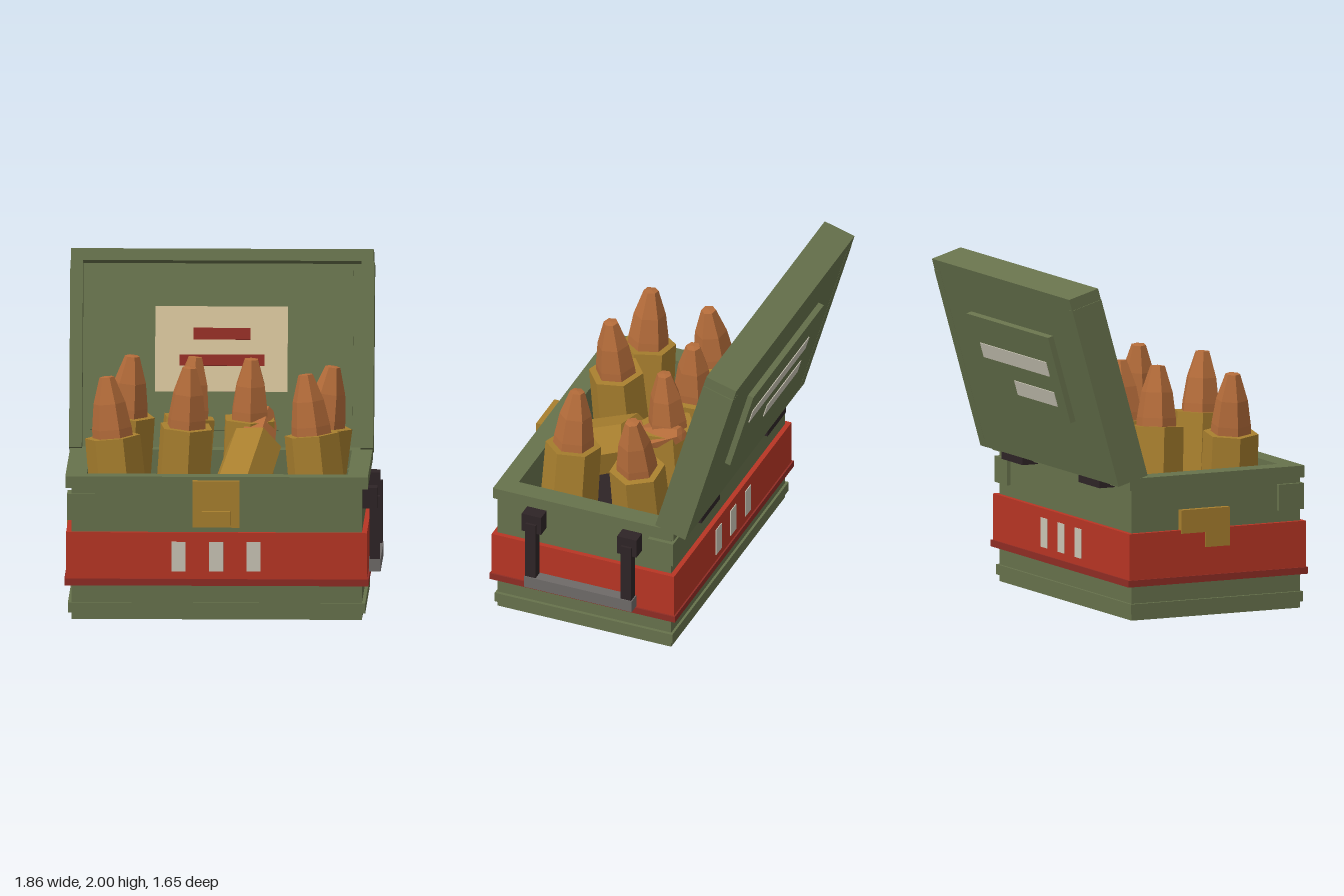
import * as THREE from 'three';

const mat = (name, color) => {
  const m = new THREE.MeshStandardMaterial({ color, flatShading: true });
  m.name = name;
  return m;
};

export function createModel() {
  const model = new THREE.Group();
  model.name = 'ammunitionCrate';
  const green = mat('olive green', 0x67724c);
  const red = mat('band red', 0xb83524);
  const darkRed = mat('dark red', 0x8f2c24);
  const brass = mat('brass', 0xa87f2e);
  const copper = mat('copper', 0xb46c3a);
  const dark = mat('dark iron', 0x2e2426);
  const grey = mat('grip grey', 0x6e6a68);
  const cream = mat('label cream', 0xd2c098);
  const pale = mat('pale marking', 0xcac5b5);

  // Box given by its limits on each axis
  const box = (parent, name, m, x0, x1, y0, y1, z0, z1) => {
    const mesh = new THREE.Mesh(new THREE.BoxGeometry(x1 - x0, y1 - y0, z1 - z0), m);
    mesh.position.set((x0 + x1) / 2, (y0 + y1) / 2, (z0 + z1) / 2);
    mesh.name = name;
    parent.add(mesh);
    return mesh;
  };

  // Rectangular ring around the open interior
  const IN = { x0: -0.8, x1: 0.735, z0: -0.31, z1: 0.62 };
  const ring = (name, m, x0, x1, y0, y1, z0, z1) => {
    const g = new THREE.Group();
    g.name = name;
    box(g, name + 'Front', m, x0, x1, y0, y1, IN.z1, z1);
    box(g, name + 'Back', m, x0, x1, y0, y1, z0, IN.z0);
    box(g, name + 'Left', m, IN.x1, x1, y0, y1, IN.z0, IN.z1);
    box(g, name + 'Right', m, x0, IN.x0, y0, y1, IN.z0, IN.z1);
    model.add(g);
  };

  // Body
  box(model, 'base', green, -0.89, 0.82, 0, 0.45, -0.39, 0.72);
  box(model, 'baseMoulding', green, -0.91, 0.84, 0.04, 0.1, -0.405, 0.73);
  ring('wall', green, -0.89, 0.82, 0.45, 0.78, -0.39, 0.72);
  ring('rim', green, -0.925, 0.855, 0.78, 0.85, -0.42, 0.735);
  box(model, 'interiorFloor', dark, IN.x0, IN.x1, 0.45, 0.458, IN.z0, IN.z1);

  // Painted band, solid up to the floor and hollow above it
  box(model, 'redBand', red, -0.92, 0.85, 0.24, 0.449, -0.42, 0.745);
  ring('redBandTop', red, -0.92, 0.85, 0.449, 0.52, -0.42, 0.745);
  box(model, 'bandTrim', darkRed, -0.93, 0.86, 0.205, 0.245, -0.43, 0.755);
  for (const x of [-0.258, -0.037, 0.183]) {
    box(model, 'frontMark', pale, x - 0.042, x + 0.042, 0.29, 0.465, 0.743, 0.75);
    box(model, 'backMark', pale, x - 0.042, x + 0.042, 0.29, 0.465, -0.425, -0.418);
  }

  // Corner blocks on opposite corners
  box(model, 'frontCornerBlock', green, -0.915, -0.75, 0.59, 0.745, 0.57, 0.735);
  box(model, 'backCornerBlock', green, 0.68, 0.845, 0.59, 0.745, -0.412, -0.25);

  // Brass latch and side patch
  box(model, 'latchPlate', brass, -0.175, 0.1, 0.555, 0.83, 0.71, 0.78);
  box(model, 'latchTab', brass, -0.12, 0.05, 0.57, 0.655, 0.775, 0.83);
  box(model, 'sidePatch', brass, -0.927, -0.88, 0.5, 0.64, -0.08, 0.24);
  box(model, 'sidePatchTab', brass, -0.927, -0.918, 0.41, 0.5, 0.08, 0.24);

  // Side handle
  for (const z of [0.468, -0.142]) {
    box(model, 'handleMount', dark, 0.81, 0.905, 0.635, 0.755, z - 0.062, z + 0.062);
    box(model, 'handleArm', dark, 0.86, 0.92, 0.32, 0.7, z - 0.033, z + 0.033);
  }
  box(model, 'handleGrip', grey, 0.855, 0.925, 0.255, 0.33, -0.182, 0.505);

  // Hinges
  for (const x of [-0.533, 0.463]) {
    box(model, 'hinge', dark, x - 0.138, x + 0.138, 0.765, 0.82, -0.49, -0.39);
  }

  // Open lid: local y runs up the lid, local z from its back to its front
  const lid = new THREE.Group();
  lid.name = 'lid';
  lid.position.set(0, 0.81, -0.495);
  lid.rotation.x = -0.279;
  model.add(lid);
  box(lid, 'lidPanel', green, -0.925, 0.855, 0, 1.11, 0, 0.06);
  box(lid, 'lidTopWall', green, -0.925, 0.855, 1.11, 1.18, 0, 0.198);
  box(lid, 'lidRightWall', green, -0.93, -0.855, 0, 1.11, -0.001, 0.198);
  box(lid, 'lidLeftWall', green, 0.785, 0.86, 0, 1.11, -0.001, 0.198);
  box(lid, 'lidLining', green, -0.81, 0.735, 0.12, 1.07, 0.06, 0.075);
  box(lid, 'label', cream, -0.43, 0.35, 0.347, 0.853, 0.074, 0.08);
  box(lid, 'labelBarUpper', darkRed, -0.205, 0.13, 0.655, 0.725, 0.079, 0.085);
  box(lid, 'labelBarLower', darkRed, -0.285, 0.215, 0.5, 0.567, 0.079, 0.085);
  box(lid, 'outerPanel', green, -0.565, 0.495, 0.36, 0.9, -0.035, 0);
  box(lid, 'outerMarkUpper', pale, -0.45, 0.4, 0.64, 0.73, -0.04, -0.034);
  box(lid, 'outerMarkLower', pale, -0.45, 0.06, 0.45, 0.54, -0.04, -0.034);

  // Six-sided rounds; origin at the mouth of the case
  const CASE = 0.57;
  const caseGeo = new THREE.CylinderGeometry(0.165, 0.173, CASE, 6).translate(0, -CASE / 2, 0);
  const noseGeo = new THREE.LatheGeometry(
    [[0, -0.02], [0.122, -0.02], [0.118, 0.05], [0.095, 0.2], [0.044, 0.355], [0, 0.36]]
      .map(([r, y]) => new THREE.Vector2(r, y)), 6);
  const up = new THREE.Vector3(0, 1, 0);
  const addRound = (name, mouth, tip, spin) => {
    const g = new THREE.Group();
    g.name = name;
    const axis = new THREE.Vector3(...tip).sub(new THREE.Vector3(...mouth)).normalize();
    g.position.set(...mouth);
    g.quaternion.setFromUnitVectors(up, axis);
    g.rotateY(spin);
    const shell = new THREE.Mesh(caseGeo, brass);
    shell.name = 'case';
    const nose = new THREE.Mesh(noseGeo, copper);
    nose.name = 'nose';
    g.add(shell, nose);
    model.add(g);
  };
  const rounds = [
    [[-0.58, 1.095, -0.07], [-0.55, 1.455, -0.045], 0.35],
    [[-0.215, 1.08, -0.095], [-0.18, 1.44, -0.105], 0.1],
    [[0.14, 1.075, -0.08], [0.15, 1.435, -0.06], 0.05],
    [[0.58, 1.035, -0.07], [0.63, 1.39, -0.06], 0.5],
    [[-0.655, 1.035, 0.385], [-0.69, 1.39, 0.38], 0.4],
    [[-0.22, 1.1, 0.405], [-0.2, 1.46, 0.43], 0.15],
    [[0.515, 1.05, 0.365], [0.48, 1.4, 0.355], 0.3],
  ];
  rounds.forEach(([mouth, tip, spin]) => addRound('standingRound', mouth, tip, spin));
  addRound('fallenRound', [0.17, 0.93, 0.1], [0.235, 1.1, -0.21], 0.25);

  return model;
}
